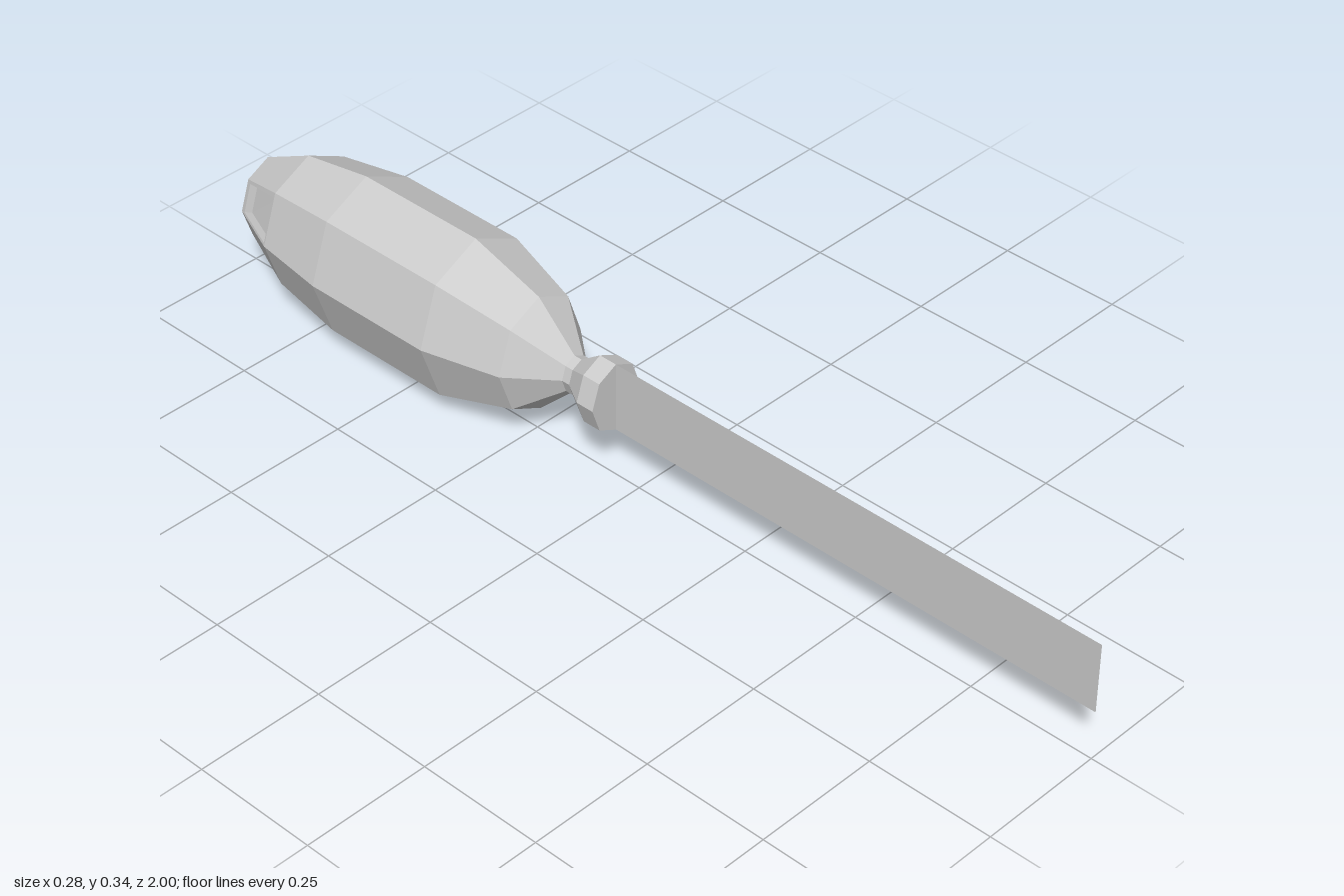
import * as THREE from 'three';

const SIDES = 8, CENTRE_Y = 0.17;

// Oval rings from front to back: z, half width, half height
const POMMEL = [[-0.055, 0, 0], [-0.055, 0.058, 0.07], [-0.093, 0.058, 0.07], [-0.138, 0.031, 0.038], [-0.155, 0.031, 0.038]];
const BODY = [[-0.155, 0.031, 0.038], [-0.24, 0.1, 0.12], [-0.395, 0.14, 0.168], [-0.675, 0.14, 0.168],
  [-0.83, 0.118, 0.141], [-0.945, 0.07, 0.085], [-1, 0, 0]];
const WINDOW_BAND = 4;

function ringPoint([z, rx, ry], i) {
  const a = (i / SIDES) * Math.PI * 2;
  return new THREE.Vector3(Math.cos(a) * rx, CENTRE_Y + Math.sin(a) * ry, z);
}

function addQuad(out, a, b, c, d) {
  for (const tri of [[a, b, c], [a, c, d]]) {
    const [p, q, r] = tri;
    if (p.distanceTo(q) < 1e-6 || q.distanceTo(r) < 1e-6 || r.distanceTo(p) < 1e-6) continue;
    for (const v of tri) out.push(v.x, v.y, v.z);
  }
}

// Quad with a sunken pane, its walls and a narrow frame
function addWindow(out, corners, depth) {
  const [a, b, c, d] = corners;
  const normal = b.clone().sub(a).cross(d.clone().sub(a)).normalize();
  const at = (u, v) => a.clone().lerp(b, u).lerp(d.clone().lerp(c, u), v);
  const rim = [at(0.03, 0.08), at(0.9, 0.1), at(0.9, 0.93), at(0.03, 0.95)];
  const pane = rim.map((p) => p.clone().addScaledVector(normal, -depth));
  for (let i = 0; i < 4; i++) {
    const j = (i + 1) % 4;
    addQuad(out, corners[i], corners[j], rim[j], rim[i]);
    addQuad(out, rim[i], rim[j], pane[j], pane[i]);
  }
  addQuad(out, ...pane);
}

function facetedShell(rings, isWindow = () => false) {
  const out = [];
  for (let j = 0; j < rings.length - 1; j++) {
    for (let i = 0; i < SIDES; i++) {
      const quad = [ringPoint(rings[j], i), ringPoint(rings[j + 1], i),
        ringPoint(rings[j + 1], i + 1), ringPoint(rings[j], i + 1)];
      if (isWindow(j, i)) addWindow(out, quad, 0.015);
      else addQuad(out, ...quad);
    }
  }
  const geometry = new THREE.BufferGeometry();
  geometry.setAttribute('position', new THREE.Float32BufferAttribute(out, 3));
  geometry.computeVertexNormals();
  return geometry;
}

export function createModel() {
  const group = new THREE.Group();
  const grey = new THREE.MeshStandardMaterial({ color: 0xcccccc, flatShading: true });
  const thin = new THREE.MeshStandardMaterial({ color: 0xcccccc, flatShading: true, side: THREE.DoubleSide });
  const add = (name, geometry, material) => {
    const mesh = new THREE.Mesh(geometry, material);
    mesh.name = name;
    group.add(mesh);
    return mesh;
  };

  // Pod with a window in the upper side facet on the left and right
  add('body', facetedShell(BODY, (j, i) => j === WINDOW_BAND && (i === 0 || i === 3)), grey);

  // Flared nozzle with a closed front
  add('nozzle', facetedShell(POMMEL), grey);

  // Thin upright strip running forward from the nozzle
  const strip = add('trailStrip', new THREE.PlaneGeometry(1.055, 0.14), thin);
  strip.rotation.y = Math.PI / 2;
  strip.position.set(0, CENTRE_Y, 0.4725);

  return group;
}
